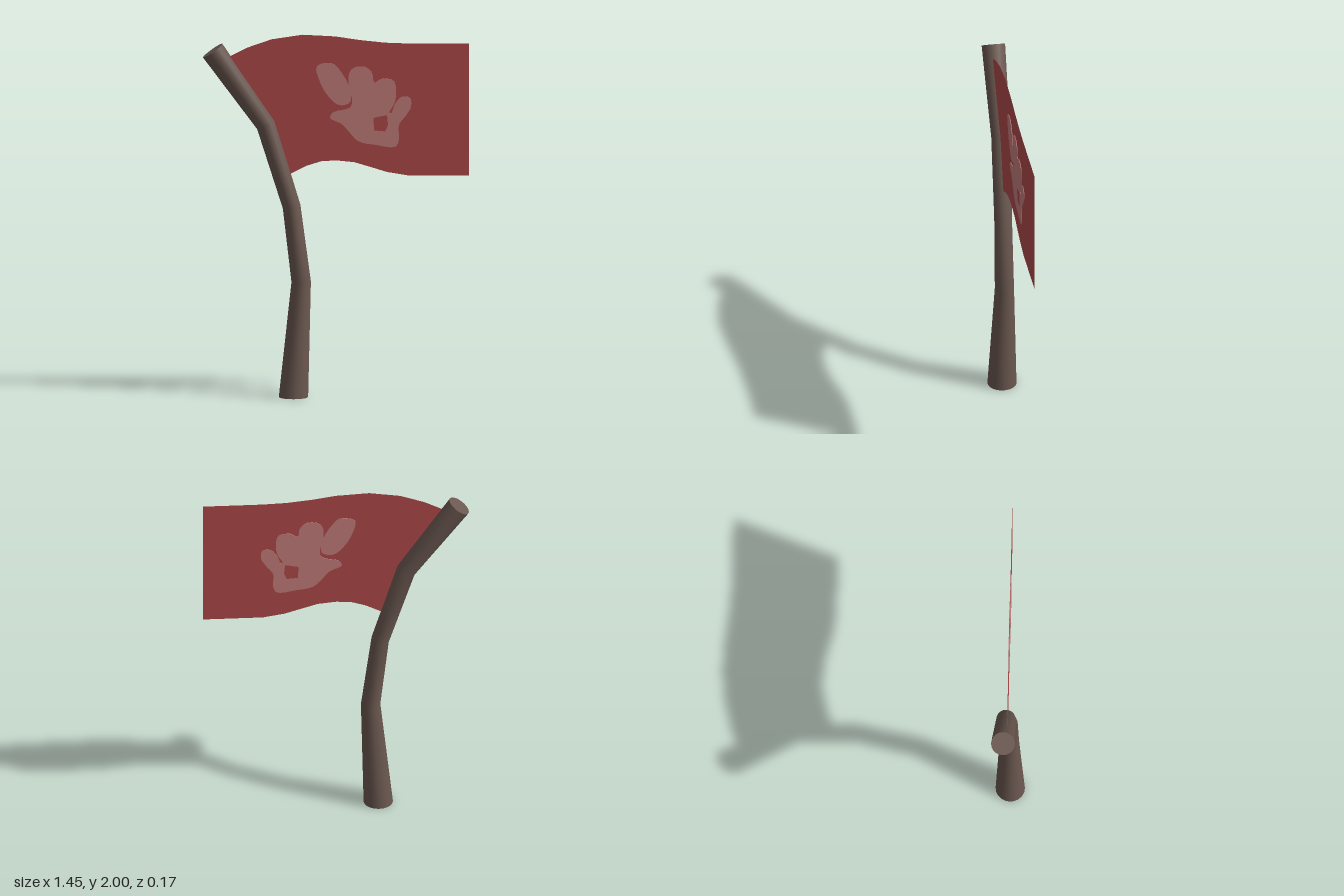
import * as THREE from 'three';

const poleMat = new THREE.MeshStandardMaterial({ color: 0x6b5850 });
poleMat.name = 'bark brown';
const clothMat = new THREE.MeshStandardMaterial({ color: 0xb04a49, side: THREE.DoubleSide });
clothMat.name = 'cloth red';
const markMat = new THREE.MeshStandardMaterial({ color: 0xc47e7d });
markMat.name = 'faded pink';

// Crooked tapering pole: rings of vertices along a bent centre line, capped at both ends
function poleGeometry(stations, sides = 20) {
  const points = stations.map(([x, y, z]) => new THREE.Vector3(x, y, z));
  const positions = [], index = [];
  const last = points.length - 1;
  const rings = points.map((p, i) => {
    const t = new THREE.Vector3();
    if (i > 0) t.add(p.clone().sub(points[i - 1]).normalize());
    if (i < last) t.add(points[i + 1].clone().sub(p).normalize());
    if (i === 0) t.set(0, 1, 0);
    t.normalize();
    const u = new THREE.Vector3().crossVectors(t, new THREE.Vector3(0, 0, 1)).normalize();
    const v = new THREE.Vector3().crossVectors(u, t);
    return Array.from({ length: sides }, (_, k) => {
      const a = (k / sides) * Math.PI * 2;
      return p.clone().addScaledVector(u, Math.cos(a) * stations[i][3])
        .addScaledVector(v, Math.sin(a) * stations[i][3]);
    });
  });
  const push = (p) => positions.push(p.x, p.y, p.z) / 3 - 1;
  rings.forEach((ring) => ring.forEach(push));
  for (let i = 0; i < last; i++) {
    for (let k = 0; k < sides; k++) {
      const n = (k + 1) % sides;
      const a = i * sides + k, b = i * sides + n, c = a + sides, d = b + sides;
      index.push(a, c, b, b, c, d);
    }
  }
  // Caps have their own vertices, so their rims stay sharp
  for (const i of [0, last]) {
    const centre = push(points[i]);
    const rim = rings[i].map(push);
    for (let k = 0; k < sides; k++) {
      const n = (k + 1) % sides;
      if (i === 0) index.push(centre, rim[k], rim[n]);
      else index.push(centre, rim[n], rim[k]);
    }
  }
  const g = new THREE.BufferGeometry();
  g.setAttribute('position', new THREE.Float32BufferAttribute(positions, 3));
  g.setIndex(index);
  g.computeVertexNormals();
  return g;
}

const vectors = (list) => list.map(([x, y]) => new THREE.Vector2(x, y));

// Smooth closed outline through a few points
const blob = (list) => new THREE.CatmullRomCurve3(
  list.map(([x, y]) => new THREE.Vector3(x, y, 0)), true, 'centripetal'
).getPoints(list.length * 4).slice(0, -1).map((p) => new THREE.Vector2(p.x, p.y));

export function createModel() {
  const model = new THREE.Group();
  model.name = 'flagOnPole';

  const pole = new THREE.Mesh(poleGeometry([
    [-0.23, 0, 0.01, 0.08],
    [-0.188, 0.635, 0.004, 0.053],
    [-0.24, 1.05, 0.002, 0.049],
    [-0.38, 1.5, -0.01, 0.053],
    [-0.67, 1.91, -0.02, 0.065],
  ]), poleMat);
  pole.name = 'pole';
  model.add(pole);

  // Flat cloth with wavy top and bottom edges, its inner edge following the pole
  const cloth = new THREE.Mesh(new THREE.ShapeGeometry(new THREE.Shape(vectors([
    [-0.62, 1.85], [-0.58, 1.88], [-0.48, 1.93], [-0.35, 1.975], [-0.18, 2.0], [0, 1.99],
    [0.13, 1.97], [0.27, 1.955], [0.4, 1.95], [0.727, 1.95],
    [0.727, 1.22], [0.4, 1.22], [0.28, 1.24], [0.2, 1.265], [0.1, 1.295], [0, 1.305],
    [-0.08, 1.3], [-0.16, 1.275], [-0.25, 1.23], [-0.29, 1.21], [-0.38, 1.5],
  ]))), clothMat);
  cloth.name = 'flagCloth';
  model.add(cloth);

  // Painted hand mark, showing on both faces of the cloth
  const finger = new THREE.Shape(blob([
    [-0.105, 1.82], [-0.075, 1.84], [-0.015, 1.84], [0.025, 1.8], [0.07, 1.72],
    [0.08, 1.63], [0.04, 1.61], [0, 1.62], [-0.055, 1.68], [-0.09, 1.75],
  ]));
  const palm = new THREE.Shape(blob([
    [-0.03, 1.54], [-0.015, 1.57], [0.045, 1.585], [0.08, 1.6], [0.09, 1.64], [0.072, 1.7],
    [0.075, 1.79], [0.105, 1.82], [0.165, 1.82], [0.2, 1.785], [0.21, 1.735], [0.25, 1.755],
    [0.315, 1.745], [0.33, 1.69], [0.32, 1.62], [0.293, 1.572], [0.302, 1.565], [0.325, 1.62],
    [0.36, 1.655], [0.405, 1.65], [0.41, 1.6], [0.385, 1.555], [0.345, 1.5], [0.345, 1.42],
    [0.325, 1.38], [0.22, 1.39], [0.125, 1.41], [0.075, 1.46], [0.035, 1.505],
  ]));
  palm.holes.push(new THREE.Path(vectors([
    [0.205, 1.54], [0.28, 1.555], [0.285, 1.5], [0.27, 1.465], [0.21, 1.47],
  ])));
  const mark = new THREE.Mesh(new THREE.ExtrudeGeometry([finger, palm], {
    depth: 0.006, bevelEnabled: false,
  }).translate(0, 0, -0.003), markMat);
  mark.name = 'handMark';
  model.add(mark);

  return model;
}
